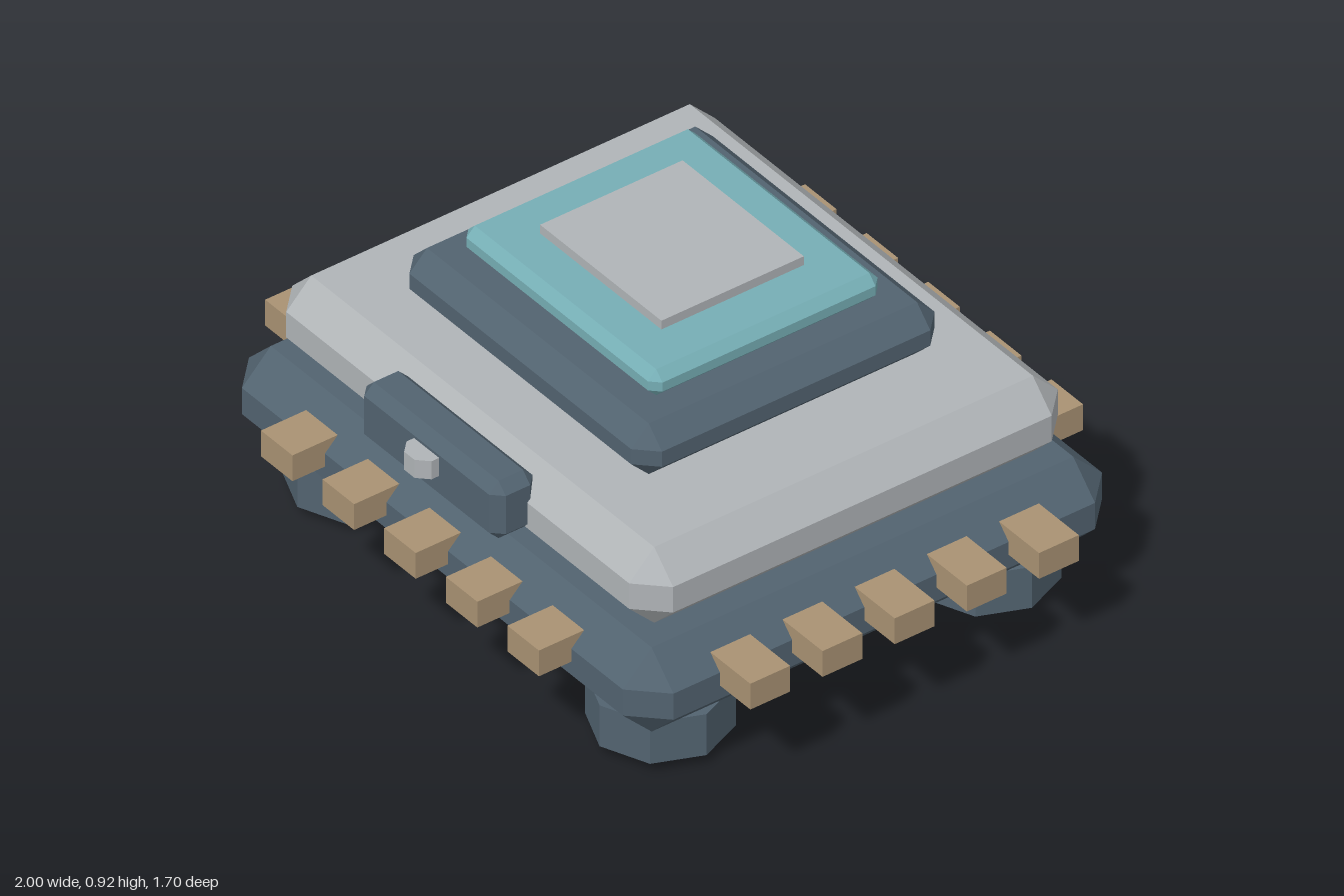
import * as THREE from 'three';
import { ConvexGeometry } from 'three/addons/geometries/ConvexGeometry.js';

const material = (name, color) => {
  const m = new THREE.MeshStandardMaterial({ color, flatShading: true });
  m.name = name;
  return m;
};

// Box with every edge cut by one flat bevel, centred on the origin
function chamferBox(hx, hy, hz, b) {
  const points = [];
  for (const x of [-1, 1]) for (const y of [-1, 1]) for (const z of [-1, 1]) {
    points.push(
      new THREE.Vector3(x * hx, y * (hy - b), z * (hz - b)),
      new THREE.Vector3(x * (hx - b), y * hy, z * (hz - b)),
      new THREE.Vector3(x * (hx - b), y * (hy - b), z * hz));
  }
  return new ConvexGeometry(points);
}

export function createModel() {
  const slate = material('slate', 0x526370);
  const grey = material('light grey', 0xb0b4b7);
  const teal = material('teal', 0x76aeb5);
  const tan = material('tan', 0xa99273);

  const model = new THREE.Group();
  model.name = 'steppedDevice';
  const add = (name, geometry, mat, x, y, z) => {
    const mesh = new THREE.Mesh(geometry, mat);
    mesh.name = name;
    mesh.position.set(x, y, z);
    model.add(mesh);
    return mesh;
  };

  // Stacked tiers: name, half x, half z, bottom, top, bevel, colour
  const tiers = [
    ['base', 0.875, 0.747, 0.157, 0.418, 0.09, slate],
    ['body', 0.785, 0.668, 0.418, 0.653, 0.078, grey],
    ['upperTier', 0.512, 0.473, 0.653, 0.81, 0.055, slate],
    ['screenFrame', 0.4, 0.358, 0.81, 0.89, 0.026, teal],
  ];
  for (const [name, hx, hz, y0, y1, bevel, mat] of tiers) {
    add(name, chamferBox(hx, (y1 - y0) / 2, hz, bevel), mat, 0, (y0 + y1) / 2, 0);
  }
  add('topPlate', new THREE.BoxGeometry(0.5, 0.04, 0.444), grey, 0, 0.897, 0);

  // Five contact blocks along each side of the base
  const longBlock = new THREE.BoxGeometry(0.13, 0.08, 0.17);
  const sideBlock = new THREE.BoxGeometry(0.19, 0.08, 0.124);
  for (let i = -2; i <= 2; i++) {
    for (const s of [-1, 1]) {
      add(s > 0 ? 'frontContact' : 'backContact', longBlock, tan, i * 0.254, 0.328, s * 0.763);
      add(s > 0 ? 'leftContact' : 'rightContact', sideBlock, tan, s * 0.905, 0.328, i * 0.225);
    }
  }

  // Front panel with its small octagonal knob
  add('frontPanel', chamferBox(0.287, 0.089, 0.068, 0.03), slate, 0, 0.567, 0.697);
  const knob = new THREE.CylinderGeometry(0.056, 0.056, 0.056, 8).rotateY(Math.PI / 8);
  add('knob', knob, grey, 0, 0.59, 0.767);

  // Four octagonal feet with pads
  const foot = new THREE.CylinderGeometry(0.19, 0.19, 0.127, 8);
  const pad = new THREE.CylinderGeometry(0.112, 0.112, 0.04, 8);
  for (const sx of [-1, 1]) for (const sz of [-1, 1]) {
    add('foot', foot, slate, sx * 0.623, 0.0965, sz * 0.507);
    add('footPad', pad, teal, sx * 0.623, 0.02, sz * 0.507);
  }
  return model;
}
